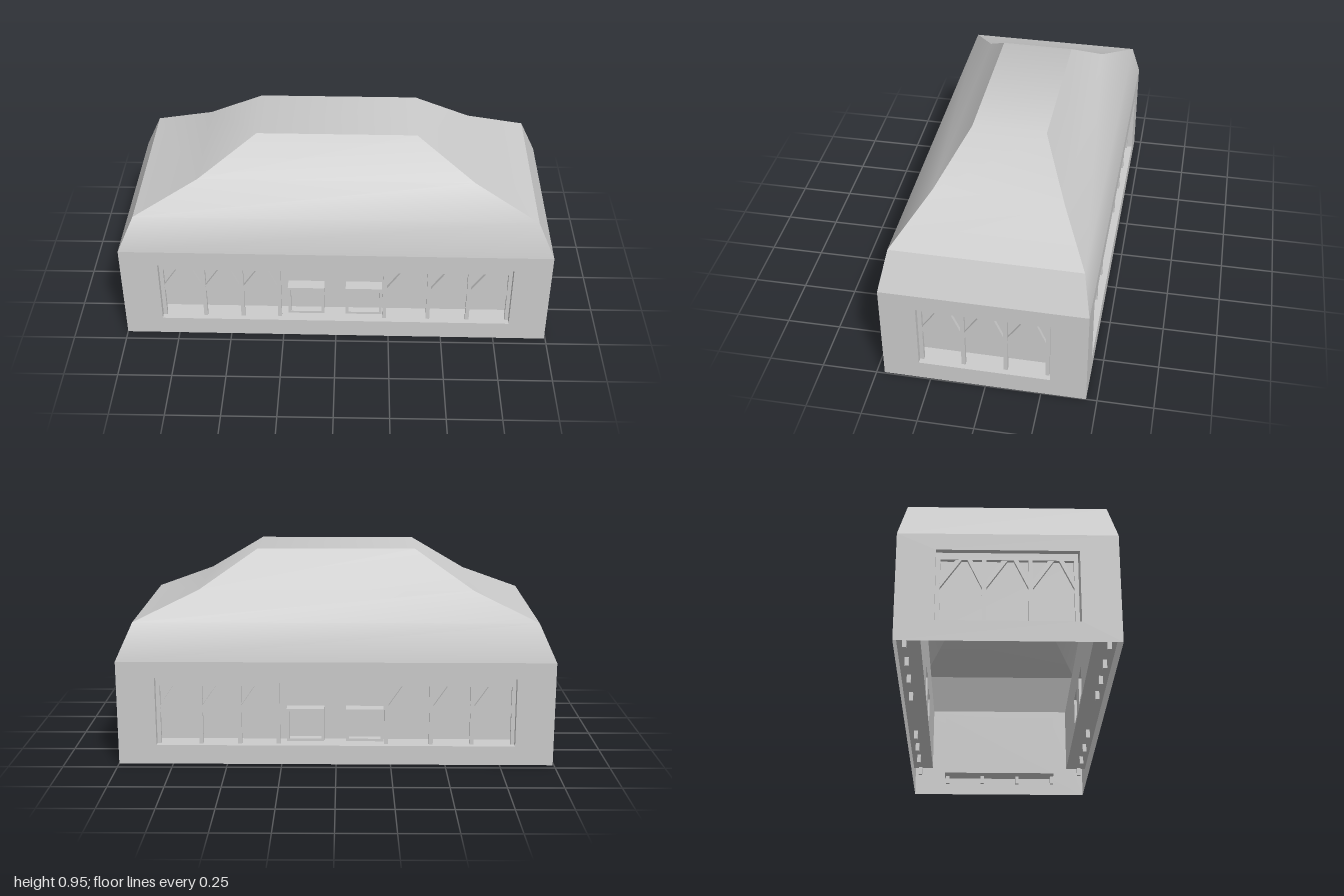
import * as THREE from 'three';
import { toCreasedNormals } from 'three/addons/utils/BufferGeometryUtils.js';

const HX = 0.997, HZ = 0.4575;            // half length and half depth of the hall
const EAVE = 0.485, SILL = 0.09, HEAD = 0.41, DEPTH = 0.1;
const POST = 0.018;                       // timber thickness

const shell = new THREE.MeshStandardMaterial({ color: 0xcccccc, side: THREE.DoubleSide });
const solid = new THREE.MeshStandardMaterial({ color: 0xcccccc });

function add(parent, name, geometry, x, y, z, material = solid) {
  const mesh = new THREE.Mesh(geometry, material);
  mesh.name = name;
  mesh.position.set(x, y, z);
  parent.add(mesh);
  return mesh;
}

function polygon(points, Type = THREE.Shape) {
  return new Type(points.map(([x, y]) => new THREE.Vector2(x, y)));
}

const rect = (x0, y0, x1, y1, Type) => polygon([[x0, y0], [x1, y0], [x1, y1], [x0, y1]], Type);

// Mansard-like roof: stacked rectangular rings closed by a flat top
function roofGeometry() {
  const rings = [[HX, EAVE, HZ], [0.917, 0.66, 0.422], [0.63, 0.783, 0.29], [0.365, 0.955, 0.167]]
    .map(([x, y, z]) => [[-x, y, z], [x, y, z], [x, y, -z], [-x, y, -z]]);
  const out = [];
  const quad = (a, b, c, d) => out.push(...a, ...b, ...c, ...a, ...c, ...d);
  for (let i = 0; i < rings.length - 1; i++) {
    for (let k = 0; k < 4; k++) {
      const n = (k + 1) % 4;
      quad(rings[i][k], rings[i][n], rings[i + 1][n], rings[i + 1][k]);
    }
  }
  quad(...rings[rings.length - 1]);
  const geometry = new THREE.BufferGeometry();
  geometry.setAttribute('position', new THREE.Float32BufferAttribute(out, 3));
  return toCreasedNormals(geometry, 0.72);
}

// Row of posts under a beam, with one long and one short brace in each bay
function arcade(parent, posts, beamY) {
  const group = new THREE.Group();
  group.name = 'arcade';
  group.position.z = -0.035;
  parent.add(group);
  const first = posts[0], last = posts[posts.length - 1], half = POST / 2;
  add(group, 'beam', new THREE.BoxGeometry(last - first + POST, HEAD - beamY, POST),
    (first + last) / 2, (HEAD + beamY) / 2, 0);
  for (const x of posts) {
    add(group, 'post', new THREE.BoxGeometry(POST, beamY - 0.05, POST), x, (beamY + 0.05) / 2, 0);
  }
  const brace = (x, upper, lower) => {
    const shape = polygon([[0, beamY - 0.128], [lower, beamY], [upper, beamY], [0, beamY - 0.093]]);
    const geometry = new THREE.ExtrudeGeometry(shape, { depth: POST * 0.9, bevelEnabled: false });
    add(group, 'brace', geometry, x, 0, -POST * 0.45);
  };
  for (let i = 0; i < posts.length - 1; i++) {
    brace(posts[i] + half, 0.063, 0.088);
    brace(posts[i + 1] - half, -0.04, -0.06);
  }
}

// Projecting window box, hollow behind its pane
function windowBox(parent, x) {
  const group = new THREE.Group();
  group.name = 'window';
  group.position.set(x, 0.174, -DEPTH);
  parent.add(group);
  const frame = rect(-0.086, -0.077, 0.086, 0.077);
  frame.holes.push(rect(-0.073, -0.065, 0.073, 0.065, THREE.Path));
  add(group, 'windowFrame', new THREE.ExtrudeGeometry(frame, { depth: 0.055, bevelEnabled: false }), 0, 0, 0);
  add(group, 'windowPane', new THREE.PlaneGeometry(0.146, 0.13), 0, 0, 0.022, shell);
}

// One facade with its recessed gallery; local z = 0 is the outer face
function facade(name, halfWidth, opening, windows, arcades, beamY) {
  const group = new THREE.Group();
  group.name = name;
  const wall = rect(-halfWidth, 0, halfWidth, EAVE);
  wall.holes.push(rect(-opening, SILL, opening, HEAD, THREE.Path));
  add(group, 'outerWall', new THREE.ShapeGeometry(wall), 0, 0, 0, shell);

  const back = rect(-opening, SILL, opening, HEAD);
  for (const x of windows) {
    back.holes.push(rect(x - 0.073, 0.109, x + 0.073, 0.239, THREE.Path));
  }
  add(group, 'galleryWall', new THREE.ShapeGeometry(back), 0, 0, -DEPTH, shell);

  for (const [part, y, turn] of [['galleryFloor', SILL, -1], ['galleryCeiling', HEAD, 1]]) {
    add(group, part, new THREE.PlaneGeometry(2 * opening, DEPTH), 0, y, -DEPTH / 2, shell)
      .rotation.x = turn * Math.PI / 2;
  }
  for (const side of [-1, 1]) {
    add(group, 'galleryEnd', new THREE.PlaneGeometry(DEPTH, HEAD - SILL),
      side * opening, (SILL + HEAD) / 2, -DEPTH / 2, shell).rotation.y = -side * Math.PI / 2;
  }
  windows.forEach((x) => windowBox(group, x));
  arcades.forEach((posts) => arcade(group, posts, beamY));
  return group;
}

export function createModel() {
  const model = new THREE.Group();
  model.name = 'hall';
  const body = new THREE.Group();
  body.name = 'body';
  body.rotation.y = -0.006;               // the hall stands very slightly askew
  model.add(body);

  add(body, 'roof', roofGeometry(), 0, 0, 0, shell);

  // Opposite facades are the same, turned by half a circle
  for (const side of [0, 1]) {
    const long = facade(side ? 'backFacade' : 'frontFacade', HX, 0.822, [-0.139, 0.134],
      [[-0.812, -0.618, -0.44, -0.264], [0.232, 0.438, 0.625, 0.812]], 0.366);
    long.rotation.y = side * Math.PI;
    long.position.z = side ? -HZ : HZ;

    const end = facade(side ? 'rightFacade' : 'leftFacade', HZ, 0.295, [],
      [[-0.286, -0.097, 0.093, 0.28]], 0.378);
    end.rotation.y = Math.PI / 2 + side * Math.PI;
    end.position.x = side ? -HX : HX;
    body.add(long, end);
  }
  return model;
}
